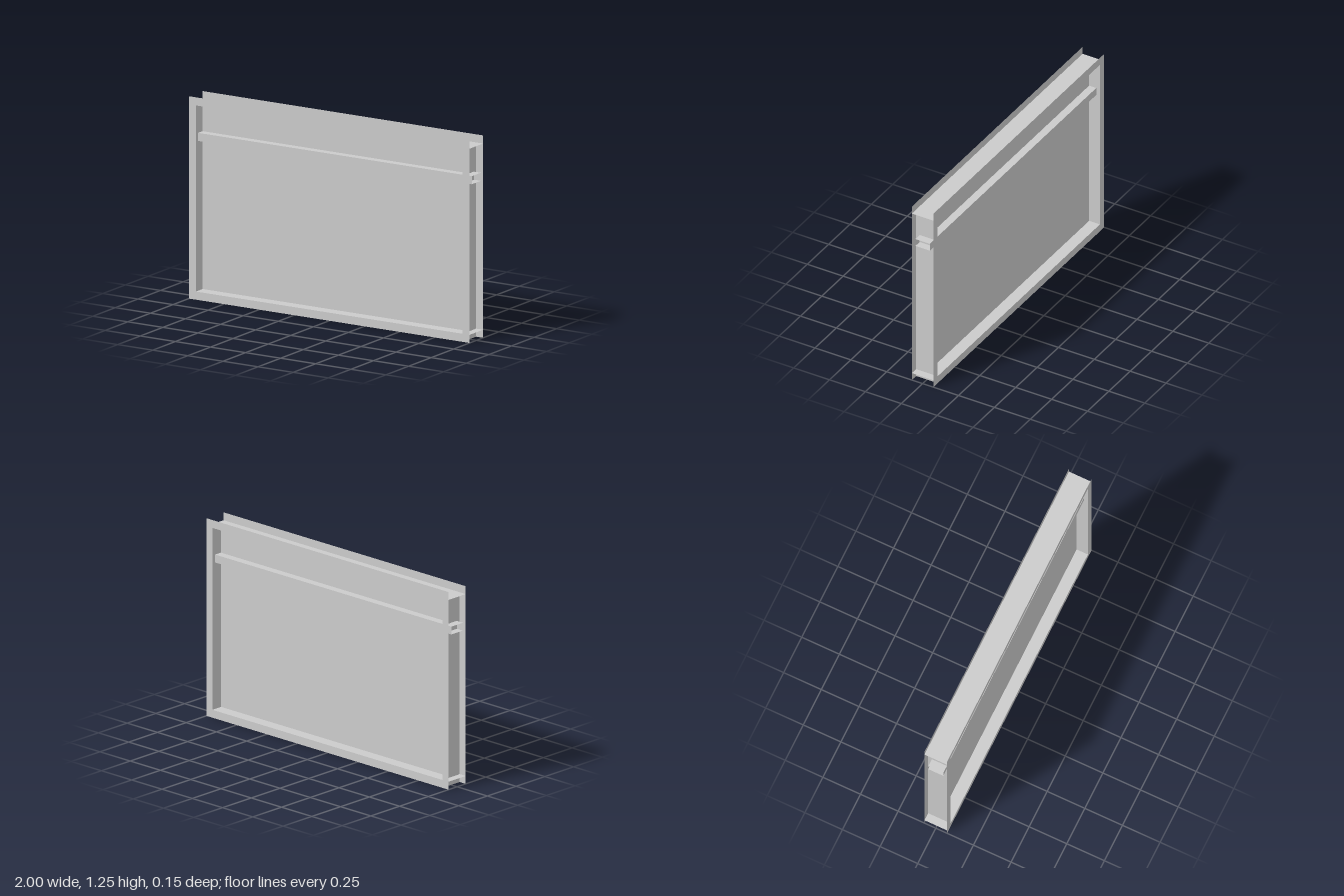
import * as THREE from 'three';

const W = 2, H = 1.25, LIP = 0.05, HALF_DEPTH = 0.075;
const TOP = H - LIP;

export function createModel() {
  const model = new THREE.Group();
  model.name = 'framedPanel';
  const material = new THREE.MeshStandardMaterial({
    color: 0xcccccc, side: THREE.DoubleSide, flatShading: true,
  });

  const add = (name, geometry, x, y, z, parent = model) => {
    const mesh = new THREE.Mesh(geometry, material);
    mesh.name = name;
    mesh.position.set(x, y, z);
    parent.add(mesh);
    return mesh;
  };
  // Thin sheets facing up, sideways and forwards
  const level = (w, d) => new THREE.PlaneGeometry(w, d).rotateX(-Math.PI / 2);
  const side = (d, h) => new THREE.PlaneGeometry(d, h).rotateY(Math.PI / 2);
  const upright = (w, h) => new THREE.PlaneGeometry(w, h);

  // Rectangular face frame with an open middle
  const rect = (path, x, y0, y1) => path.moveTo(-x, y0).lineTo(x, y0).lineTo(x, y1).lineTo(-x, y1).closePath();
  const outline = new THREE.Shape();
  rect(outline, W / 2, 0, H);
  const opening = new THREE.Path();
  rect(opening, W / 2 - LIP, LIP, TOP);
  outline.holes.push(opening);
  const face = new THREE.ShapeGeometry(outline);
  add('frontFrame', face, 0, 0, HALF_DEPTH);
  add('backFrame', face, 0, 0, -HALF_DEPTH);

  // Webs joining the two frames
  add('bottomWeb', level(W, HALF_DEPTH * 2), 0, LIP, 0);
  add('topWeb', level(W, HALF_DEPTH * 2), 0, TOP, 0);
  for (const s of [-1, 1]) {
    add(s > 0 ? 'leftWeb' : 'rightWeb', side(HALF_DEPTH * 2, TOP), s * (W / 2 - LIP), TOP / 2, 0);
  }

  // Central sheet
  add('panel', upright(W - 2 * LIP, TOP - LIP), 0, (TOP + LIP) / 2, 0);

  // Open-ended square tube across the panel, passing through the side webs
  const rail = new THREE.Group();
  rail.name = 'crossRail';
  rail.position.y = 1;
  model.add(rail);
  for (const s of [-1, 1]) {
    add(s > 0 ? 'railTop' : 'railBottom', level(W, 0.1), 0, s * 0.025, 0, rail);
    add(s > 0 ? 'railFront' : 'railBack', upright(W, 0.05), 0, 0, s * 0.05, rail);
  }
  return model;
}
